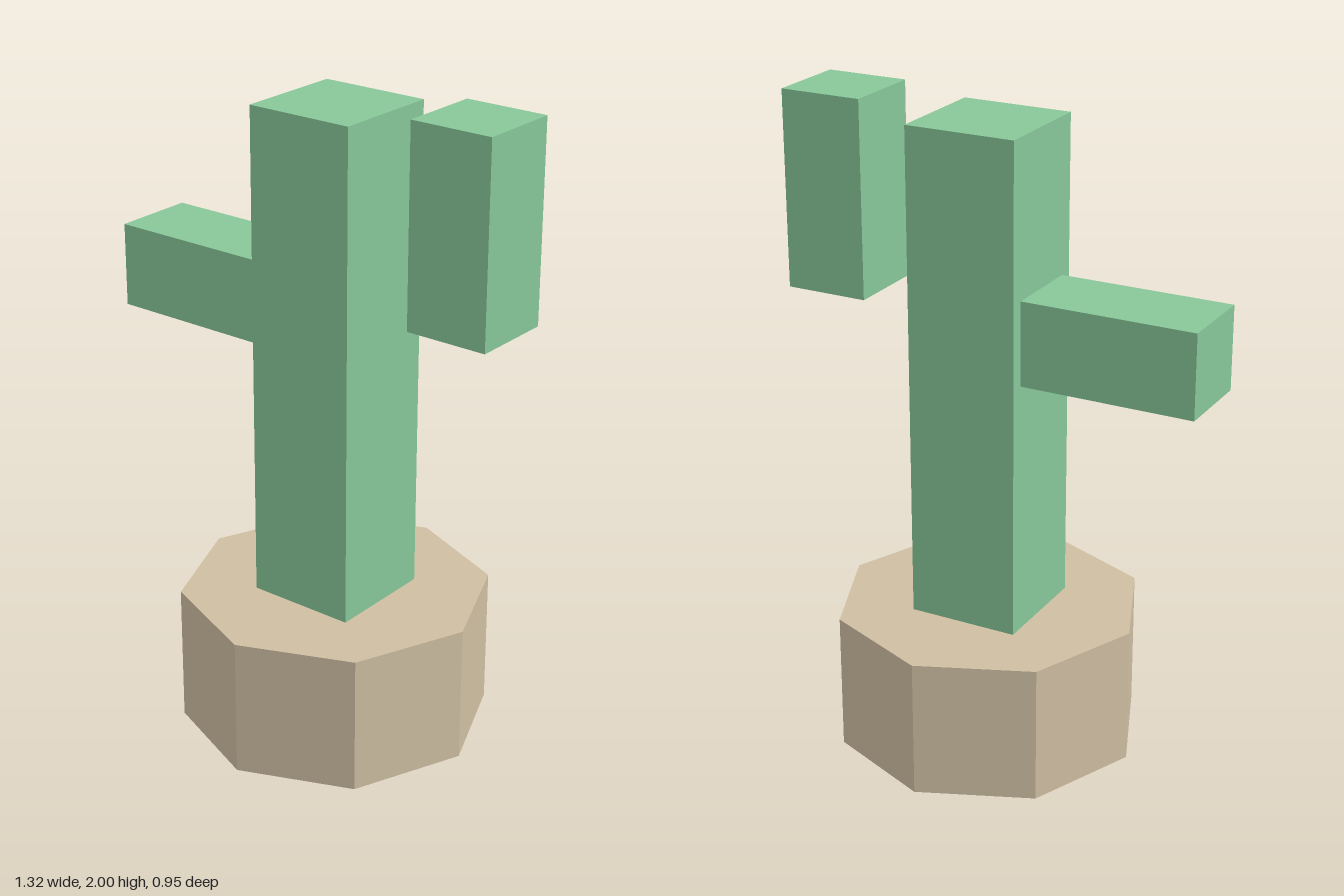
import * as THREE from 'three';

export function createModel() {
  const group = new THREE.Group();
  const green = new THREE.MeshStandardMaterial({ color: 0x88c799 });
  green.name = 'cactus green';
  const tan = new THREE.MeshStandardMaterial({ color: 0xcfbfa2, flatShading: true });
  tan.name = 'pot tan';

  // Box given by its x and y limits and its depth, centred on z = 0
  const block = (name, x0, x1, y0, y1, depth) => {
    const mesh = new THREE.Mesh(new THREE.BoxGeometry(x1 - x0, y1 - y0, depth), green);
    mesh.position.set((x0 + x1) / 2, (y0 + y1) / 2, 0);
    mesh.name = name;
    group.add(mesh);
  };

  // Eight-sided pot
  const potHeight = 0.433;
  const pot = new THREE.Mesh(new THREE.CylinderGeometry(0.477, 0.477, potHeight, 8), tan);
  pot.position.set(0.053, potHeight / 2, 0);
  pot.name = 'pot';
  group.add(pot);

  // Trunk, sideways arm and separate upright arm
  block('trunk', -0.12, 0.226, potHeight, 1.958, 0.346);
  block('sidewaysArm', -0.662, -0.12, 1.222, 1.481, 0.26);
  block('uprightArm', 0.402, 0.662, 1.396, 2, 0.26);

  return group;
}
